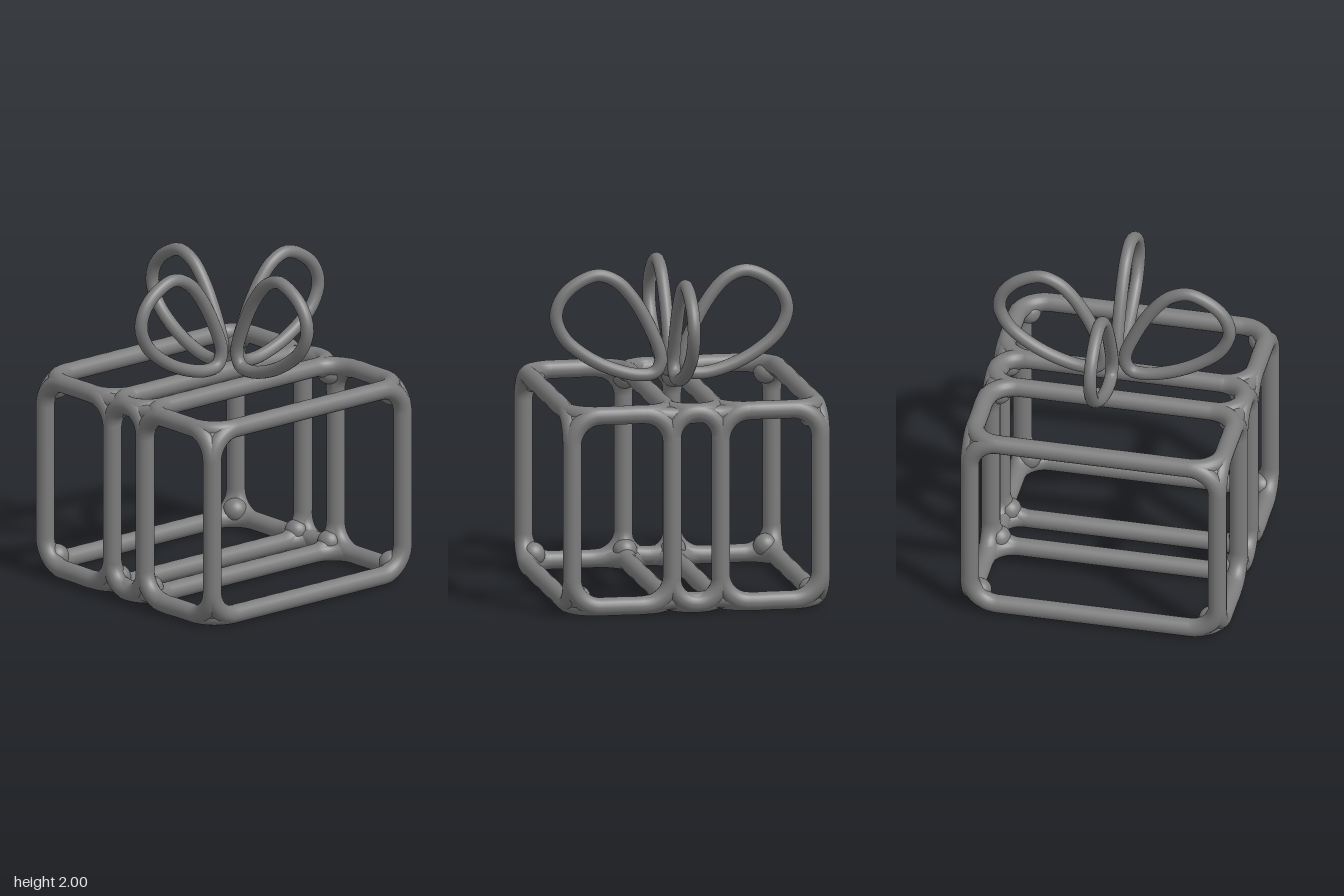
import * as THREE from 'three';

const R = 0.057;                 // bar radius
const H = 0.768;                 // half width and half depth, on bar centres
const LOW = 0.058, HIGH = 1.235; // heights of the lower and upper bars
const RIB = 0.15;                // ribbon bars sit at x = +-RIB
const BEND = 0.175;              // centre-line radius of the joint bends
const DIP = 0.022;               // how far the crossbars sink in at the ribbons

const v = (x, y, z) => new THREE.Vector3(x, y, z);

export function createModel() {
  const model = new THREE.Group();
  model.name = 'giftBox';
  const material = new THREE.MeshStandardMaterial({ color: 0x7c7c7c });

  const add = (parent, name, geometry) => {
    const mesh = new THREE.Mesh(geometry, material);
    mesh.name = name;
    parent.add(mesh);
    return mesh;
  };

  // Round bar between two points
  const bar = (parent, name, a, b) => {
    const dir = b.clone().sub(a);
    const mesh = add(parent, name, new THREE.CylinderGeometry(R, R, dir.length(), 20));
    mesh.position.copy(a).add(b).multiplyScalar(0.5);
    mesh.quaternion.setFromUnitVectors(v(0, 1, 0), dir.normalize());
  };

  // Quarter bend at a joint, joining directions a and b
  const bend = (parent, corner, a, b, radius = BEND) => {
    const at = (d, s) => corner.clone().addScaledVector(d, s * radius);
    const curve = new THREE.CubicBezierCurve3(at(a, 1), at(a, 0.448), at(b, 0.448), at(b, 1));
    add(parent, 'jointBend', new THREE.TubeGeometry(curve, 14, R, 20));
  };

  const frame = new THREE.Group();
  frame.name = 'boxFrame';
  model.add(frame);

  // Hoops with rounded corners: two box sides and two ribbon bars
  const end = H - BEND;
  for (const x of [-H, -RIB, RIB, H]) {
    const edge = Math.abs(x) === H;
    const kind = edge ? 'side' : 'ribbon';
    for (const y of [LOW, HIGH]) bar(frame, kind + 'Rail', v(x, y, -end), v(x, y, end));
    for (const z of [-H, H]) bar(frame, kind + 'Post', v(x, LOW + BEND, z), v(x, HIGH - BEND, z));

    for (const y of [LOW, HIGH]) for (const z of [-H, H]) {
      const corner = v(x, y, z);
      const up = v(0, y === LOW ? 1 : -1, 0);
      const inward = v(0, 0, -Math.sign(z));
      bend(frame, corner, up, inward);

      // Bends towards the crossbars, on one side at box corners and both at ribbons
      for (const s of [-1, 1]) {
        if (edge && s === Math.sign(x)) continue;
        const across = v(s, 0, 0);
        const radius = !edge && s !== Math.sign(x) ? RIB : BEND;
        bend(frame, corner, across, up, radius);
        bend(frame, corner, across, inward, radius);
      }

      // Swollen core that rounds off the joint
      const core = add(frame, 'jointCore', new THREE.SphereGeometry(0.075, 24, 16));
      core.position.copy(corner).addScaledVector(up, 0.05).addScaledVector(inward, 0.05);
      if (edge) core.position.x -= Math.sign(x) * 0.05;
    }
  }

  // Front and back crossbars, sinking slightly at each ribbon
  for (const y of [LOW, HIGH]) for (const z of [-H, H]) {
    const point = (x, dip) => v(x, y + (y === LOW ? dip : -dip), z - Math.sign(z) * dip);
    const curve = new THREE.CatmullRomCurve3([
      point(-end, 0), point(-0.46, 0), point(-0.33, 0), point(-RIB, DIP), point(0, DIP / 2),
      point(RIB, DIP), point(0.33, 0), point(0.46, 0), point(end, 0),
    ]);
    add(frame, z > 0 ? 'frontCrossbar' : 'backCrossbar', new THREE.TubeGeometry(curve, 48, R, 20));
  }

  // Bow: four identical loops standing on the lid
  const bow = new THREE.Group();
  bow.name = 'bow';
  bow.position.set(0.01, 0, -0.037);
  model.add(bow);

  const outline = [
    [0.46, 1.96], [0.605, 1.9], [0.688, 1.81], [0.713, 1.705], [0.66, 1.578],
    [0.535, 1.468], [0.37, 1.382], [0.2, 1.338], [0.1, 1.352], [0.066, 1.43],
    [0.13, 1.62], [0.245, 1.82], [0.345, 1.922],
  ].map(([x, y]) => v(x, y, 0));
  const loopCurve = new THREE.CatmullRomCurve3(outline, true);
  const loopGeometry = new THREE.TubeGeometry(loopCurve, 80, 0.04, 16, true);
  for (let i = 0; i < 4; i++) add(bow, 'bowLoop', loopGeometry).rotation.y = i * Math.PI / 2;

  // The whole box stands very slightly turned
  model.rotation.y = -0.024;
  return model;
}
